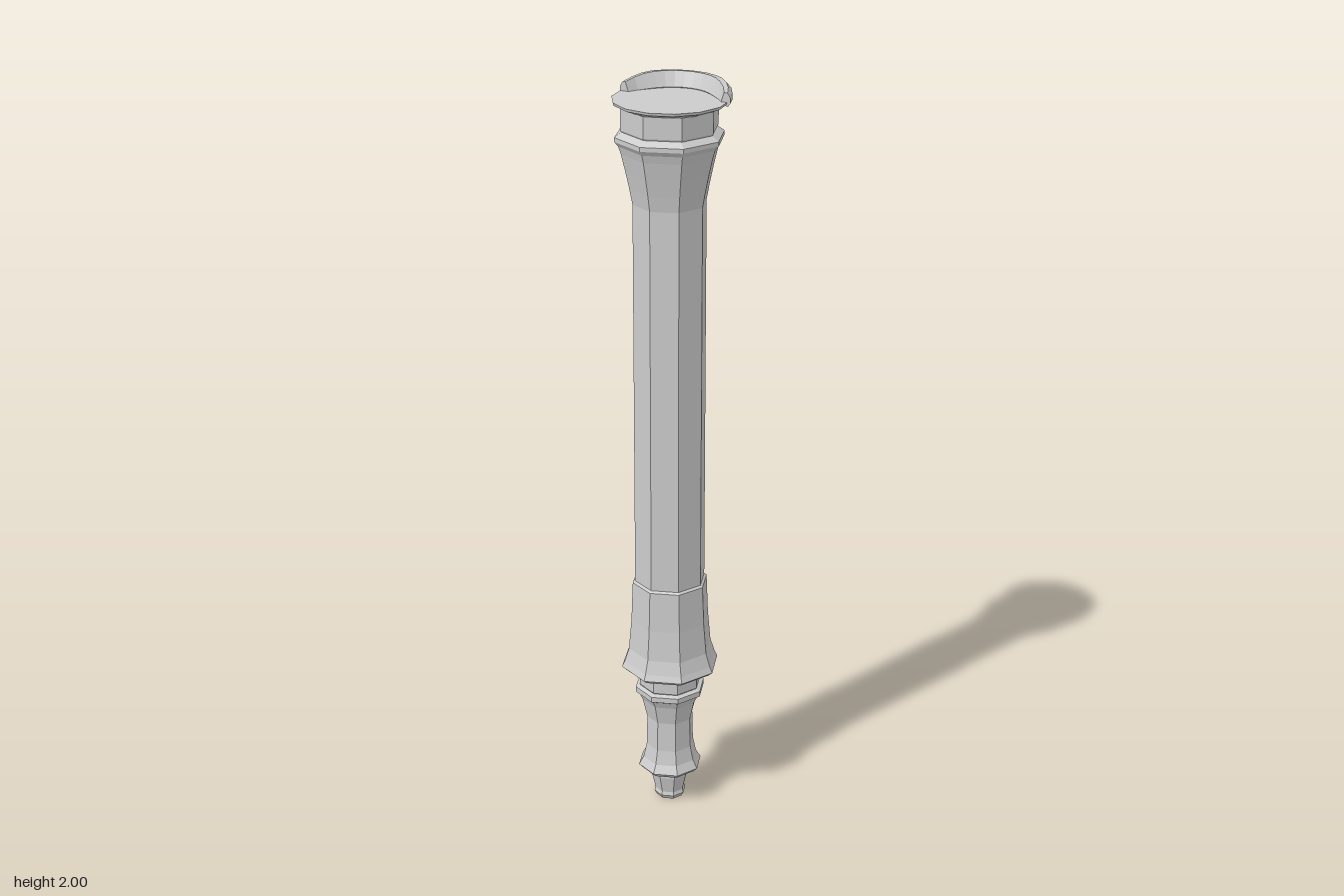
import * as THREE from 'three';

const material = new THREE.MeshStandardMaterial({ color: 0xcccccc, flatShading: true, side: THREE.DoubleSide });

// Faceted turned section; profile rows are [half-width across flats, height]
function turned(name, profile, sides = 8) {
  const k = 1 / Math.cos(Math.PI / sides);
  const points = profile.map(([r, y]) => new THREE.Vector2(r * k, y));
  const mesh = new THREE.Mesh(new THREE.LatheGeometry(points, sides, Math.PI / sides), material);
  mesh.name = name;
  mesh.position.set(-0.005, 0, 0.005);
  return mesh;
}

// Raised rim that sweeps around the back of the cap, thinner at both ends
function brokenRim() {
  const section = [[0.105, 1.955], [0.135, 1.95], [0.147, 1.963], [0.146, 1.982],
    [0.132, 1.998], [0.115, 2.0], [0.098, 1.963]];
  const n = section.length, steps = 13, start = -0.14, end = 2.78;
  const positions = [], index = [];
  for (let i = 0; i <= steps; i++) {
    const t = i / steps, a = start + (end - start) * t;
    const s = 0.5 + 0.5 * Math.min(1, Math.sin(Math.PI * t) * 1.8);
    for (const [r, y] of section) {
      const radius = 0.147 - (0.147 - r) * s;
      positions.push(radius * Math.cos(a), 1.95 + (y - 1.95) * (0.4 + 0.6 * s), -radius * Math.sin(a));
    }
  }
  for (let i = 0; i < steps; i++) {
    for (let j = 0; j < n; j++) {
      const a = i * n + j, b = i * n + (j + 1) % n;
      index.push(a, a + n, b, b, a + n, b + n);
    }
  }
  // End faces
  const last = steps * n;
  for (let j = 1; j < n - 1; j++) {
    index.push(0, j, j + 1, last, last + j + 1, last + j);
  }
  const geometry = new THREE.BufferGeometry();
  geometry.setAttribute('position', new THREE.Float32BufferAttribute(positions, 3));
  geometry.setIndex(index);
  geometry.computeVertexNormals();
  const mesh = new THREE.Mesh(geometry, material);
  mesh.name = 'brokenRim';
  return mesh;
}

export function createModel() {
  const group = new THREE.Group();
  group.name = 'column';

  group.add(
    // Small foot at the very bottom
    turned('foot', [[0, 0], [0.034, 0], [0.04, 0.012], [0.037, 0.022], [0.047, 0.07], [0.047, 0.095]]),
    // Waisted lower baluster
    turned('baluster', [[0.045, 0.088], [0.07, 0.09], [0.08, 0.102], [0.068, 0.125], [0.06, 0.165],
      [0.058, 0.25], [0.07, 0.305], [0.079, 0.325], [0.087, 0.33], [0.087, 0.345], [0.076, 0.35]]),
    turned('neck', [[0.07, 0.345], [0.077, 0.352], [0.077, 0.395], [0.088, 0.405]]),
    // Flared skirt around the shaft's lower end
    turned('skirt', [[0.08, 0.398], [0.112, 0.402], [0.122, 0.412], [0.115, 0.428], [0.104, 0.465],
      [0.097, 0.55], [0.093, 0.66], [0.087, 0.665]]),
    turned('shaft', [[0.087, 0.64], [0.087, 1.7]]),
    // Flared capital with a lip
    turned('capital', [[0.087, 1.7], [0.094, 1.74], [0.103, 1.785], [0.113, 1.83], [0.119, 1.85],
      [0.128, 1.862], [0.128, 1.873], [0.11, 1.887]]),
    turned('collar', [[0.11, 1.882], [0.114, 1.89], [0.114, 1.945], [0.122, 1.95]]),
  );

  // Thin flat lid over the collar
  const lid = turned('lid', [[0.113, 1.943], [0.139, 1.954], [0.141, 1.961], [0, 1.961]], 14);
  lid.position.set(-0.004, 0, 0.003);
  group.add(lid, brokenRim());
  return group;
}
